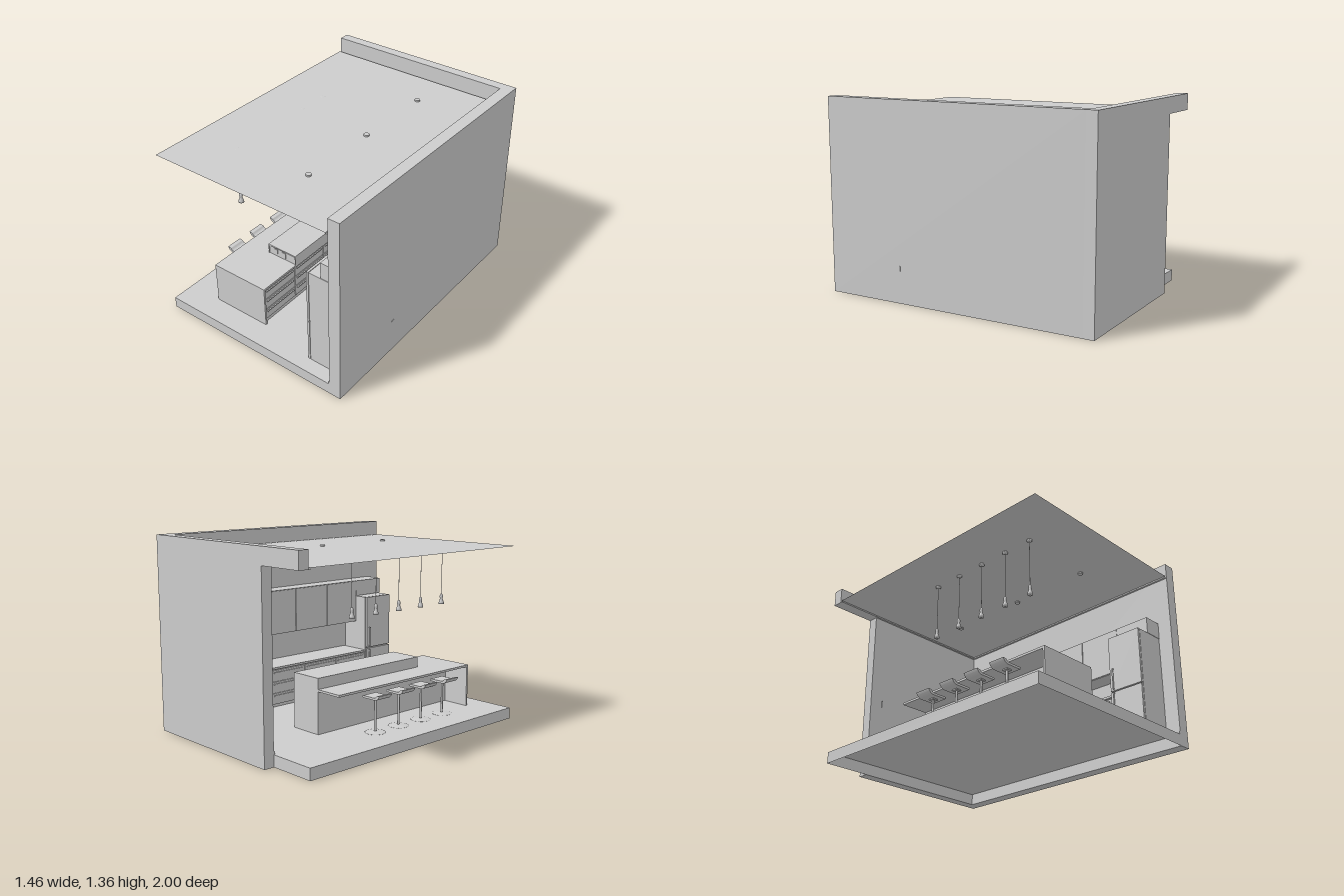
import * as THREE from 'three';

export function createModel() {
  const model = new THREE.Group();
  model.name = 'kitchenRoom';
  const grey = new THREE.MeshStandardMaterial({ color: 0xcccccc, side: THREE.DoubleSide });
  grey.name = 'plain grey';

  const group = (name, parent = model) => {
    const g = new THREE.Group();
    g.name = name;
    parent.add(g);
    return g;
  };
  const add = (name, geometry, parent) => {
    const m = new THREE.Mesh(geometry, grey);
    m.name = name;
    parent.add(m);
    return m;
  };
  // Box given by its two extremes on each axis
  const box = (name, x0, x1, y0, y1, z0, z1, parent) => {
    const m = add(name, new THREE.BoxGeometry(x1 - x0, y1 - y0, z1 - z0), parent);
    m.position.set((x0 + x1) / 2, (y0 + y1) / 2, (z0 + z1) / 2);
    return m;
  };
  // Horizontal sheet
  const sheet = (name, x0, x1, y, z0, z1, parent) => {
    const m = add(name, new THREE.PlaneGeometry(x1 - x0, z1 - z0).rotateX(-Math.PI / 2), parent);
    m.position.set((x0 + x1) / 2, y, (z0 + z1) / 2);
    return m;
  };
  const lathe = (name, points, parent, segments = 24) =>
    add(name, new THREE.LatheGeometry(points.map(p => new THREE.Vector2(...p)), segments), parent);

  // Room shell: L-shaped walls with an opening at the back, open-bottomed floor
  const shell = group('roomShell');
  const outline = new THREE.Shape([
    [-0.395, 0], [0.73, 0], [0.73, 1.36], [-0.73, 1.36], [-0.73, 1.245], [-0.395, 1.245],
  ].map(p => new THREE.Vector2(...p)));
  const backWall = add('backWall', new THREE.ExtrudeGeometry(outline, { depth: 0.075, bevelEnabled: false }), shell);
  backWall.position.z = -1;
  box('sideWall', 0.645, 0.73, 0, 1.36, -0.925, 1, shell);
  sheet('floor', -0.73, 0.645, 0.08, -0.925, 1, shell);
  const frontSkirt = add('floorFrontEdge', new THREE.PlaneGeometry(1.375, 0.08), shell);
  frontSkirt.position.set(-0.0425, 0.04, 1);
  const sideSkirt = add('floorSideEdge', new THREE.PlaneGeometry(1.925, 0.08).rotateY(-Math.PI / 2), shell);
  sideSkirt.position.set(-0.73, 0.04, 0.0375);
  const backSkirt = add('floorBackEdge', new THREE.PlaneGeometry(0.335, 0.08).rotateY(Math.PI), shell);
  backSkirt.position.set(-0.5625, 0.04, -0.925);
  box('backSkirting', -0.395, 0.645, 0.08, 0.1, -0.925, -0.917, shell);
  box('sideSkirting', 0.638, 0.645, 0.08, 0.1, -0.917, 1, shell);
  box('outsideSocket', 0.73, 0.732, 0.222, 0.258, 0.422, 0.448, shell);
  box('wallSwitch', -0.298, -0.294, 0.54, 0.585, -0.925, -0.917, shell);

  // Ceiling sheet with a lowered cove along the two walls
  const ceiling = group('ceiling');
  sheet('ceilingPanel', -0.73, 0.63, 1.255, -0.91, 1, ceiling);
  sheet('sideCove', 0.63, 0.645, 1.245, -0.925, 1, ceiling);
  sheet('backCove', -0.73, 0.63, 1.245, -0.925, -0.91, ceiling);
  const sideRiser = add('sideCoveRiser', new THREE.PlaneGeometry(1.91, 0.01).rotateY(Math.PI / 2), ceiling);
  sideRiser.position.set(0.63, 1.25, 0.045);
  const backRiser = add('backCoveRiser', new THREE.PlaneGeometry(1.36, 0.01), ceiling);
  backRiser.position.set(-0.05, 1.25, -0.91);
  for (const z of [-0.6, 0, 0.6]) {
    const spot = add('ceilingSpot', new THREE.CylinderGeometry(0.019, 0.019, 0.02, 24), ceiling);
    spot.position.set(0.185, 1.256, z);
  }

  // Pendant lamps
  for (let i = 0; i < 5; i++) {
    const lamp = group('pendantLamp');
    lamp.position.set(-0.375, 0, -0.25 + i * 0.22);
    lathe('canopy', [[0, 1.255], [0.018, 1.255], [0.018, 1.245], [0.01, 1.24], [0, 1.24]], lamp);
    const cord = add('cord', new THREE.CylinderGeometry(0.0018, 0.0018, 0.33, 8), lamp);
    cord.position.y = 1.078;
    lathe('shade', [[0, 0.915], [0.006, 0.914], [0.011, 0.905], [0.012, 0.893], [0.009, 0.882],
      [0.013, 0.868], [0.018, 0.855], [0.019, 0.843], [0, 0.843]], lamp);
  }

  // Drawer or door front facing along x, with a bar handle
  const frontPanel = (parent, x, dir, y0, y1, z0, z1) => {
    const a = x, b = x + dir * 0.008, c = x + dir * 0.016;
    box('drawerFront', Math.min(a, b), Math.max(a, b), y0, y1, z0 + 0.003, z1 - 0.003, parent);
    box('drawerHandle', Math.min(b, c), Math.max(b, c), y1 - 0.022, y1 - 0.014, z0 + 0.02, z1 - 0.02, parent);
  };
  const drawerBank = (parent, x, dir, z0, z1, columns) => {
    const w = (z1 - z0) / columns;
    for (let c = 0; c < columns; c++) {
      for (let r = 0; r < 3; r++) {
        const y = 0.112 + r * 0.085;
        frontPanel(parent, x, dir, y, y + 0.08, z0 + c * w, z0 + (c + 1) * w);
      }
    }
  };

  // Island: drawer body, raised shelf and overhanging breakfast bar
  const island = group('island');
  box('islandBody', -0.275, -0.055, 0.08, 0.37, -0.445, 0.812, island);
  box('islandBackPanel', -0.275, -0.035, 0.08, 0.385, -0.457, -0.445, island);
  box('islandFrontPanel', -0.475, -0.035, 0.08, 0.385, 0.812, 0.826, island);
  box('barTop', -0.475, -0.035, 0.37, 0.385, -0.457, 0.812, island);
  box('raisedShelf', -0.27, -0.04, 0.385, 0.45, -0.457, 0.494, island);
  box('raisedShelfTop', -0.275, -0.035, 0.45, 0.46, -0.457, 0.5, island);
  box('raisedShelfSide', -0.275, -0.27, 0.385, 0.45, -0.457, 0.5, island);
  box('raisedShelfInnerSide', -0.04, -0.035, 0.385, 0.45, -0.457, 0.5, island);
  for (const x of [-0.225, -0.155]) box('shelfSocket', x, x + 0.03, 0.395, 0.44, 0.494, 0.498, island);
  drawerBank(island, -0.055, 1, -0.445, 0.812, 4);

  // Bar stools
  const seatProfile = new THREE.Shape();
  seatProfile.moveTo(-0.095, 0.35);
  seatProfile.bezierCurveTo(-0.085, 0.328, -0.07, 0.316, -0.05, 0.316);
  seatProfile.lineTo(0.055, 0.316);
  seatProfile.quadraticCurveTo(0.065, 0.324, 0.055, 0.331);
  seatProfile.lineTo(-0.04, 0.331);
  seatProfile.bezierCurveTo(-0.06, 0.331, -0.062, 0.342, -0.07, 0.347);
  seatProfile.closePath();
  for (let i = 0; i < 4; i++) {
    const stool = group('barStool');
    stool.position.set(-0.486, 0, -0.14 + i * 0.223);
    lathe('base', [[0, 0.08], [0.069, 0.08], [0.069, 0.083], [0.02, 0.087], [0.009, 0.09], [0, 0.09]], stool, 32);
    const post = add('post', new THREE.CylinderGeometry(0.008, 0.008, 0.225, 16), stool);
    post.position.y = 0.2;
    box('seatMount', -0.02, 0.02, 0.308, 0.317, -0.02, 0.02, stool);
    const seat = add('seat', new THREE.ExtrudeGeometry(seatProfile, { depth: 0.12, bevelEnabled: false, curveSegments: 8 }), stool);
    seat.position.z = -0.06;
  }

  // Fridge with two doors facing the island
  const fridge = group('fridge');
  box('fridgeBody', 0.415, 0.64, 0.085, 0.8, 0.65, 0.9, fridge);
  for (const [y0, y1, h0, h1] of [[0.085, 0.397, 0.25, 0.39], [0.405, 0.8, 0.415, 0.565]]) {
    box('fridgeDoor', 0.395, 0.411, y0, y1, 0.65, 0.9, fridge);
    box('fridgeHandle', 0.384, 0.389, h0, h1, 0.672, 0.682, fridge);
    for (const y of [h0, h1 - 0.008]) box('handleMount', 0.387, 0.396, y, y + 0.008, 0.673, 0.681, fridge);
  }

  // Wall run: base drawers, worktop and upper cupboards
  const run = group('wallCabinets');
  box('plinth', 0.45, 0.645, 0.08, 0.11, -0.917, 0.645, run);
  box('baseCabinets', 0.42, 0.645, 0.11, 0.37, -0.917, 0.645, run);
  box('worktop', 0.405, 0.645, 0.37, 0.385, -0.917, 0.645, run);
  drawerBank(run, 0.42, -1, -0.91, 0.645, 5);
  box('upperCabinets', 0.515, 0.645, 0.6, 0.92, -0.917, 0.645, run);
  for (let i = 0; i < 5; i++) {
    const z = -0.91 + i * 0.311;
    box('upperDoor', 0.507, 0.515, 0.603, 0.917, z + 0.003, z + 0.308, run);
  }
  box('cupboardOverFridge', 0.507, 0.645, 0.803, 0.92, 0.645, 0.9, run);

  return model;
}
